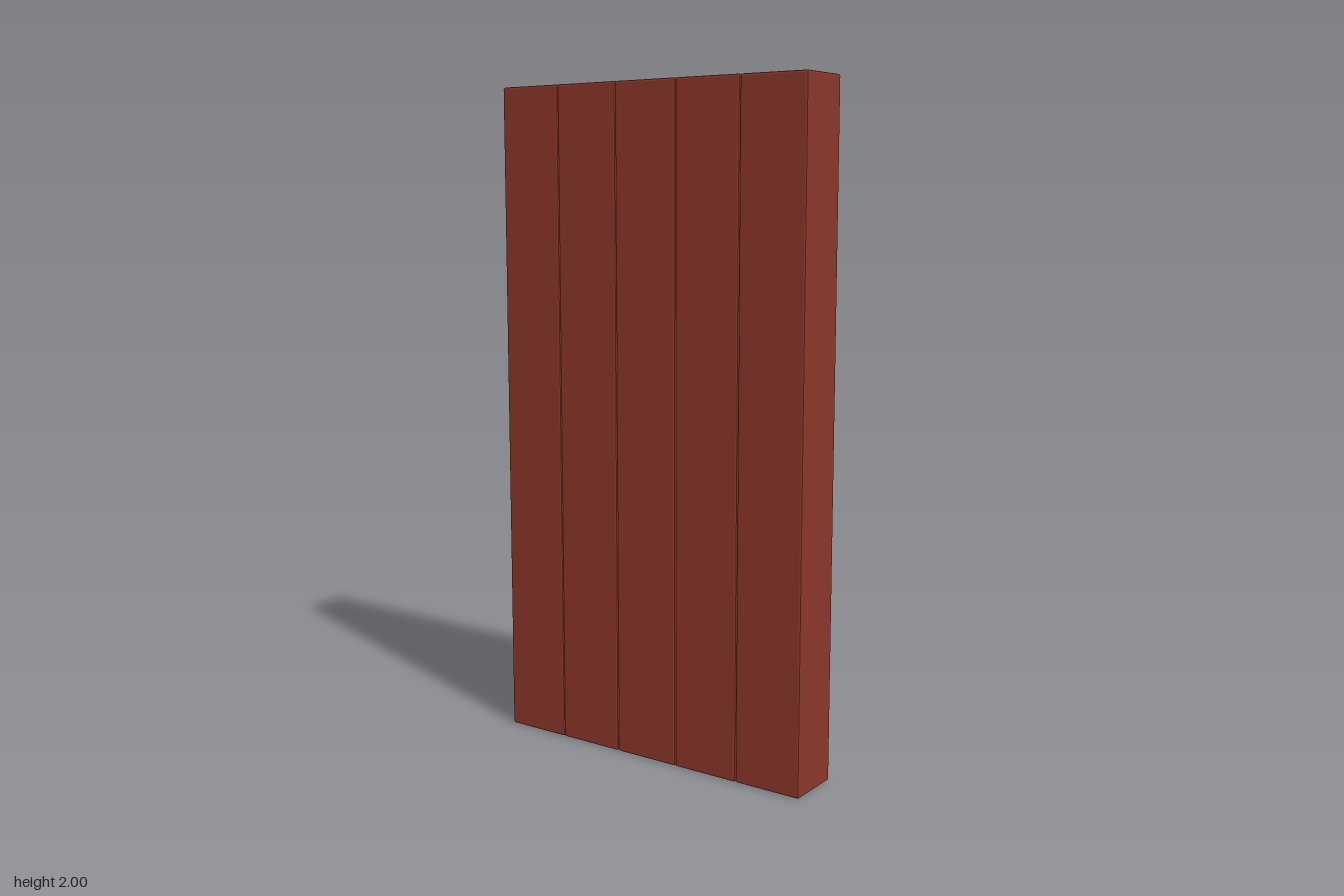
import * as THREE from 'three';
import { RoundedBoxGeometry } from 'three/addons/geometries/RoundedBoxGeometry.js';

const material = (color) => new THREE.MeshStandardMaterial({ color, flatShading: true });

// Upright four-sided frustum: bottom and top are rectangles scaled from (x, z)
function frustum(x, z, height, top, bottom) {
  const g = new THREE.CylinderGeometry(top * Math.SQRT1_2, bottom * Math.SQRT1_2, height, 4);
  g.rotateY(Math.PI / 4);
  g.scale(x, 1, z);
  return g;
}

export function createModel() {
  const wood = material(0x8a372a);
  const brass = material(0xc9b02c);
  const steel = material(0x777777);
  const model = new THREE.Group();
  model.name = 'door';

  function add(parent, name, geometry, mat, x, y, z) {
    const mesh = new THREE.Mesh(geometry, mat);
    mesh.name = name;
    mesh.position.set(x, y, z);
    parent.add(mesh);
    return mesh;
  }

  // Five chamfered vertical planks
  const pitch = 0.212;
  for (let i = 0; i < 5; i++) {
    add(model, 'plank' + (i + 1), new RoundedBoxGeometry(0.176, 2, pitch - 0.001, 1, 0.006),
      wood, -0.039, 1, (i - 2) * pitch);
  }

  // Lock plate, centred at its own origin and standing off the door face
  const lock = new THREE.Group();
  lock.name = 'lock';
  lock.position.set(0.048, 1.19, -0.424);
  model.add(lock);

  // Pointed end caps, mirrored top and bottom
  for (const s of [1, -1]) {
    const cap = new THREE.Group();
    cap.name = s > 0 ? 'topCap' : 'bottomCap';
    if (s < 0) cap.rotation.x = Math.PI;
    lock.add(cap);
    add(cap, 'capPoint', frustum(0.02, 0.112, 0.042, 0, 1), brass, 0.01, 0.141, 0);
    add(cap, 'capBase', frustum(0.02, 0.112, 0.018, 1, 0.8), brass, 0.01, 0.111, 0);
  }

  // Side rails with a bevelled outer edge
  for (const s of [1, -1]) {
    const profile = new THREE.Shape();
    profile.moveTo(0, 0.027);
    profile.lineTo(0.016, 0.027);
    profile.lineTo(0.017, 0.036);
    profile.lineTo(0.009, 0.045);
    profile.lineTo(0, 0.045);
    const rail = new THREE.ExtrudeGeometry(profile, { depth: 0.21, bevelEnabled: false });
    rail.translate(0, 0, -0.105);
    rail.rotateX(s * Math.PI / 2);
    add(lock, s > 0 ? 'leftRail' : 'rightRail', rail, brass, 0, 0, 0);
  }

  // Recessed face plate with a square keyhole
  const face = new THREE.Shape();
  face.moveTo(-0.029, -0.104);
  face.lineTo(0.029, -0.104);
  face.lineTo(0.029, 0.104);
  face.lineTo(-0.029, 0.104);
  const hole = new THREE.Path();
  hole.moveTo(-0.014, -0.082);
  hole.lineTo(-0.014, -0.046);
  hole.lineTo(0.014, -0.046);
  hole.lineTo(0.014, -0.082);
  face.holes.push(hole);
  const plate = new THREE.ExtrudeGeometry(face, { depth: 0.01, bevelEnabled: false });
  plate.rotateY(Math.PI / 2);
  add(lock, 'facePlate', plate, steel, 0, 0, 0);

  // Knob on a waisted stem
  const stem = new THREE.LatheGeometry([
    [0.016, 0], [0.012, 0.012], [0.008, 0.022], [0.016, 0.034],
  ].map(([r, y]) => new THREE.Vector2(r, y)), 8);
  stem.rotateZ(-Math.PI / 2);
  add(lock, 'knobStem', stem, brass, 0, 0.04, 0);
  add(lock, 'knob', new RoundedBoxGeometry(0.048, 0.042, 0.045, 2, 0.012), brass, 0.054, 0.04, 0);

  return model;
}
